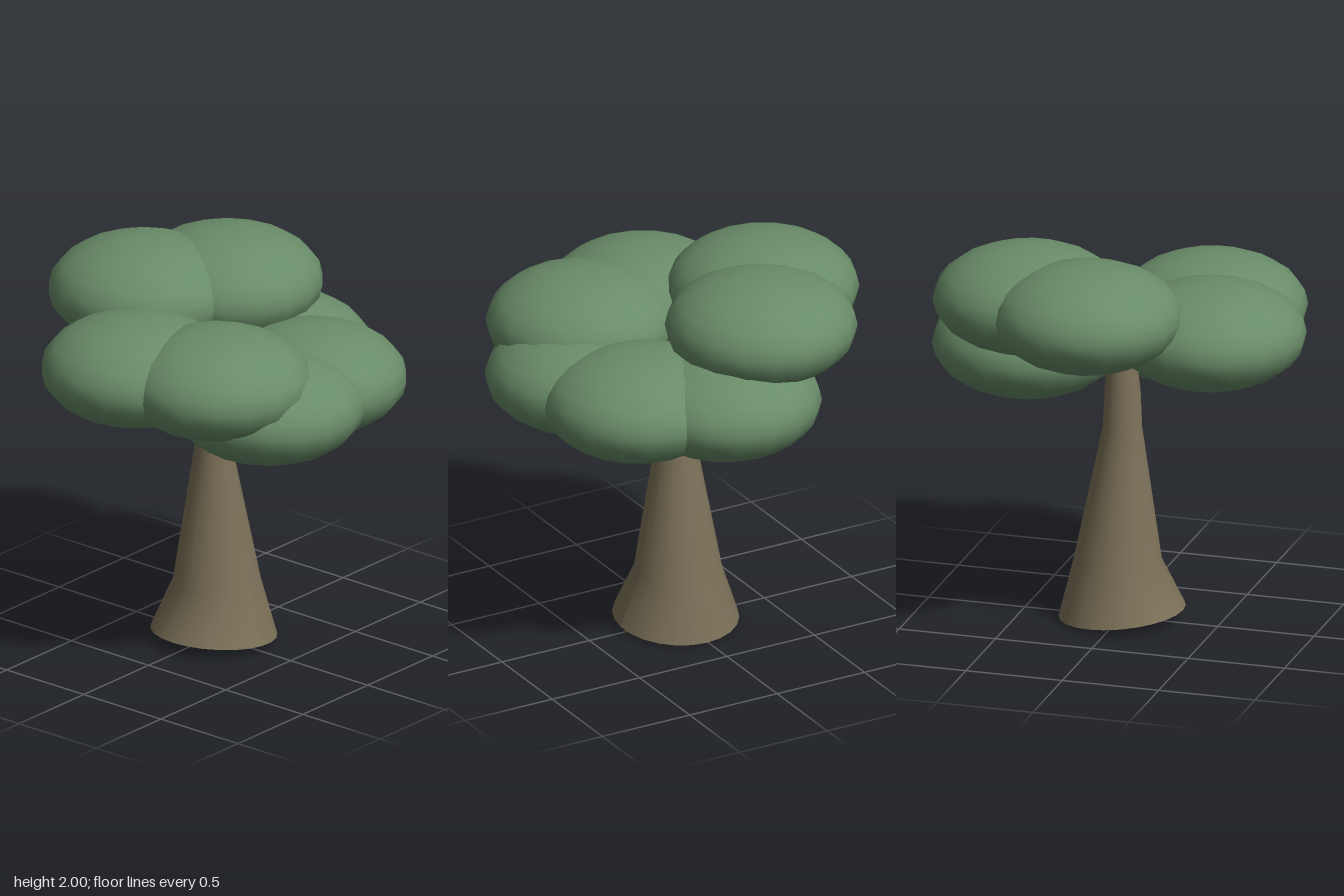
import * as THREE from 'three';

export function createModel() {
  const tree = new THREE.Group();
  tree.name = 'tree';

  const bark = new THREE.MeshStandardMaterial({ color: 0x7b7058 });
  bark.name = 'bark brown';
  const leaf = new THREE.MeshStandardMaterial({ color: 0x698c68 });
  leaf.name = 'leaf green';

  // Trunk rings: height, radius, centre x, centre z
  const rings = [
    [0.033, 0.316, -0.003, 0.005],
    [0.3, 0.22, 0.02, 0.005],
    [1.0, 0.098, -0.005, 0.004],
    [1.2, 0.089, -0.005, 0.006],
    [1.66, 0.038, 0.005, 0.015],
  ];
  const sides = 24;
  const baseY = (x) => 0.033 - 0.103 * x; // sloping foot

  const trunkGeo = new THREE.CylinderGeometry(1, 1, 1, sides, rings.length - 1, true);
  const pos = trunkGeo.attributes.position;
  for (let i = 0; i < pos.count; i++) {
    const row = rings.length - 1 - Math.floor(i / (sides + 1)); // geometry runs top to bottom
    const [y, r, cx, cz] = rings[row];
    const x = cx + pos.getX(i) * r;
    pos.setXYZ(i, x, row === 0 ? baseY(x) : y, cz + pos.getZ(i) * r);
  }
  trunkGeo.computeVertexNormals();
  const trunk = new THREE.Mesh(trunkGeo, bark);
  trunk.name = 'trunk';
  tree.add(trunk);

  // Closing discs under the foot and on the tip
  const addCap = (name, [y, r, cx, cz], down) => {
    const geo = new THREE.CircleGeometry(r, sides);
    geo.rotateX(down ? Math.PI / 2 : -Math.PI / 2).translate(cx, y, cz);
    if (down) {
      const p = geo.attributes.position;
      for (let i = 0; i < p.count; i++) p.setY(i, baseY(p.getX(i)));
      geo.computeVertexNormals();
    }
    const cap = new THREE.Mesh(geo, bark);
    cap.name = name;
    tree.add(cap);
  };
  addCap('trunkFoot', rings[0], true);
  addCap('trunkTip', rings[rings.length - 1], false);

  // Flattened leaf clumps in a ring around the tip
  const foliage = new THREE.Group();
  foliage.name = 'foliage';
  const clumpGeo = new THREE.SphereGeometry(1, 18, 12);
  const clumps = [
    ['backClump', 0.03, 1.735, -0.475],
    ['backLeftClump', 0.405, 1.725, -0.25],
    ['leftClump', 0.485, 1.405, 0],
    ['frontLeftClump', 0.29, 1.408, 0.39],
    ['frontClump', -0.135, 1.405, 0.47],
    ['frontRightClump', -0.37, 1.57, 0.33],
    ['rightClump', -0.49, 1.57, -0.085],
  ];
  for (const [name, x, y, z] of clumps) {
    const clump = new THREE.Mesh(clumpGeo, leaf);
    clump.name = name;
    clump.position.set(x, y, z);
    clump.scale.set(0.477, 0.263, 0.48);
    foliage.add(clump);
  }
  tree.add(foliage);

  return tree;
}
